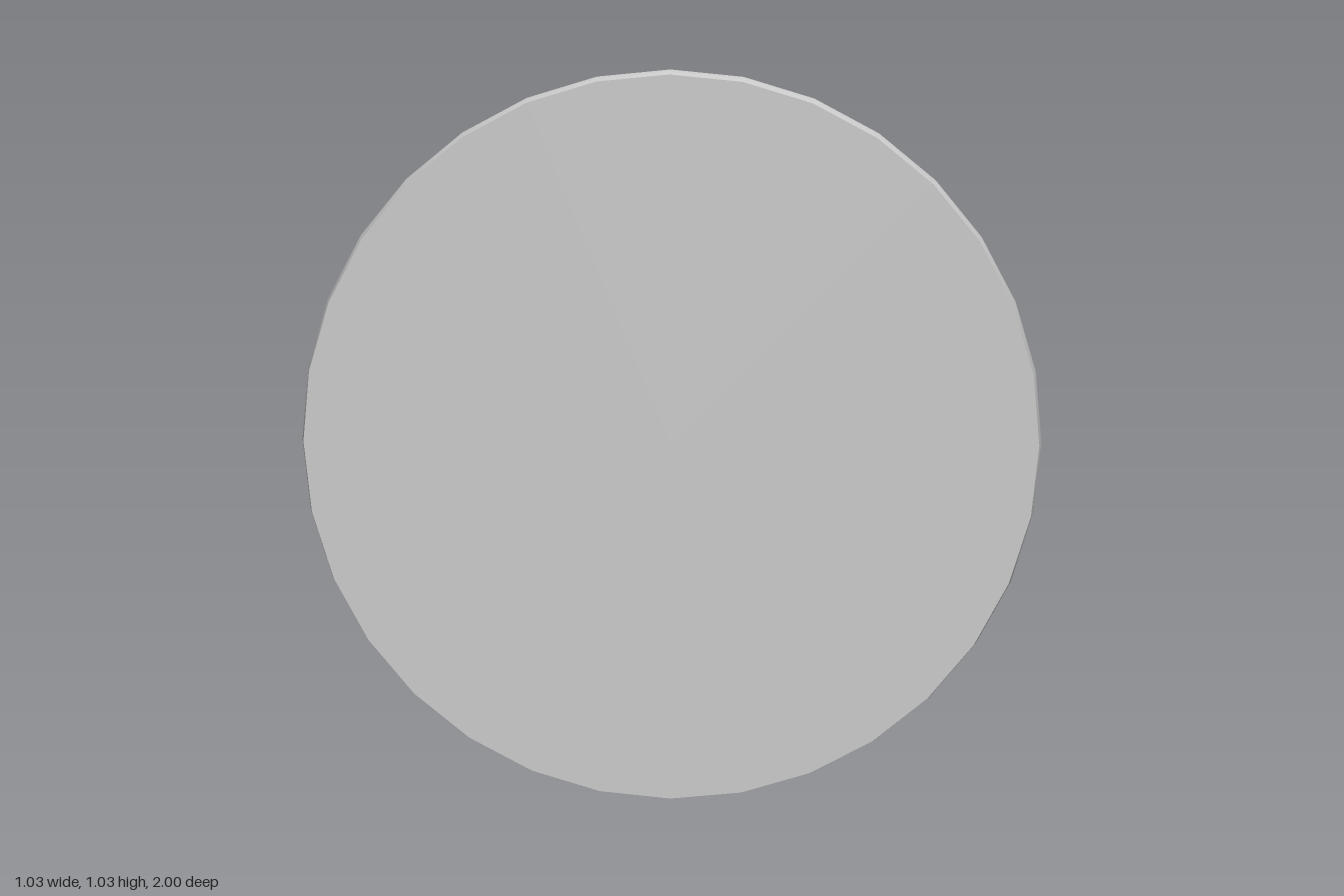
import * as THREE from 'three';

const SIDES = 32;
const AXIS_Y = 0.517;
const SLOT = 0.415; // distance along the axis where the slot in the head begins
const material = new THREE.MeshStandardMaterial({ color: 0xcccccc });

// smooth profile through [distance along axis, radius] points; includes every point
function profile(points, steps = 6) {
  return new THREE.SplineCurve(points.map(([h, r]) => new THREE.Vector2(r, h)))
    .getPoints((points.length - 1) * steps);
}

// turned part whose axis runs towards -z
function turned(points) {
  return new THREE.LatheGeometry(points, SIDES).rotateX(-Math.PI / 2);
}

// rows x cols surface from a position rule
function grid(rows, cols, rule) {
  const pos = [], index = [];
  for (let i = 0; i < rows; i++) {
    for (let j = 0; j <= cols; j++) {
      pos.push(...rule(i, j / cols));
      if (i < rows - 1 && j < cols) {
        const a = i * (cols + 1) + j, b = a + cols + 1;
        index.push(a, a + 1, b, a + 1, b + 1, b);
      }
    }
  }
  const g = new THREE.BufferGeometry();
  g.setAttribute('position', new THREE.Float32BufferAttribute(pos, 3));
  g.setIndex(index);
  g.computeVertexNormals();
  return g;
}

// heights of the two slot walls above the axis, with a small bevel at the floor
const lowerCut = h => -0.066 + 0.187 * (h - 0.435) + Math.max(0, 0.43 - h);
const upperCut = h => 0.012 + 0.19 * (h - 0.42) - Math.max(0, 0.425 - h);

// round body sliced by a slot wall: curved outside plus flat cut face
function sliced(points, cut, upper) {
  const rows = points.map(({ x, y }) => {
    const r = Math.max(x, 1e-5);
    const d = THREE.MathUtils.clamp(cut(y), -r, r);
    return { r, h: y, d, a: Math.acos(d / r), w: Math.sqrt(Math.max(0, r * r - d * d)) };
  });
  if (upper) {
    const tip = rows.findIndex(p => p.w === 0);
    if (tip > 0) rows.length = tip + 1;
  }
  const skin = grid(rows.length, SIDES, (i, t) => {
    const { r, h, a } = rows[i];
    const angle = upper ? -a + 2 * a * t : a + (2 * Math.PI - 2 * a) * t;
    return [r * Math.sin(angle), r * Math.cos(angle), -h];
  });
  const face = grid(rows.length, 1, (i, t) => {
    const { w, d, h } = rows[i];
    return [(upper ? 1 - 2 * t : 2 * t - 1) * w, d, -h];
  });
  return [skin, face];
}

export function createModel() {
  const model = new THREE.Group();
  model.name = 'chessPiece';

  function add(name, ...geometries) {
    const part = new THREE.Group();
    part.name = name;
    geometries.forEach(g => {
      const mesh = new THREE.Mesh(g, material);
      mesh.name = name;
      part.add(mesh);
    });
    part.position.y = AXIS_Y;
    model.add(part);
  }

  // underside disc, facing +z
  add('underside', new THREE.CircleGeometry(0.512, SIDES, Math.PI / 2).translate(0, 0, 1));

  // turned parts from the foot up to the start of the head
  const parts = {
    foot: [[-1, 0.512], [-0.97, 0.517], [-0.93, 0.506], [-0.88, 0.475], [-0.845, 0.437], [-0.82, 0.4]],
    baseBulge: [[-0.82, 0.4], [-0.8, 0.443], [-0.77, 0.465], [-0.735, 0.471], [-0.695, 0.457],
      [-0.665, 0.415], [-0.62, 0.365], [-0.58, 0.33], [-0.555, 0.285]],
    baseRing: [[-0.555, 0.28], [-0.55, 0.293], [-0.54, 0.293], [-0.525, 0.275], [-0.515, 0.245]],
    stem: [[-0.515, 0.245], [-0.41, 0.207], [-0.3, 0.184], [-0.14, 0.175], [0.04, 0.174]],
    largeCollar: [[0.04, 0.17], [0.043, 0.23], [0.06, 0.275], [0.095, 0.293], [0.128, 0.275],
      [0.142, 0.24], [0.146, 0.213]],
    smallCollar: [[0.146, 0.213], [0.155, 0.245], [0.183, 0.263], [0.21, 0.245], [0.22, 0.207]],
    neck: [[0.22, 0.207], [0.25, 0.202], [0.275, 0.207]],
    neckRing: [[0.275, 0.207], [0.279, 0.222], [0.288, 0.226], [0.297, 0.22], [0.3, 0.207]],
  };
  for (const [name, points] of Object.entries(parts)) add(name, turned(profile(points)));

  // head: whole below the slot, two sliced halves beyond it
  const head = profile([[0.3, 0.207], [0.36, 0.215], [SLOT, 0.225], [0.43, 0.227], [0.5, 0.232],
    [0.57, 0.224], [0.64, 0.203], [0.72, 0.165], [0.8, 0.12], [0.86, 0.077], [0.925, 0.022]], 8);
  const eps = 1e-4;
  const split = head.filter(p => p.y >= SLOT - eps);
  add('headBase', turned(head.filter(p => p.y <= SLOT + eps)));
  add('headLower', ...sliced(split, lowerCut, false));
  add('headUpper', ...sliced(split, upperCut, true));

  // floor of the slot
  const floorRadius = split[0].x, low = lowerCut(SLOT), high = upperCut(SLOT);
  add('slotFloor', grid(5, 1, (i, t) => {
    const y = low + (high - low) * i / 4;
    return [(1 - 2 * t) * Math.sqrt(floorRadius ** 2 - y * y), y, -SLOT];
  }));

  // ball at the tip, trimmed by the slot wall
  const ball = Array.from({ length: 33 }, (_, i) => {
    const a = Math.PI * i / 32;
    return new THREE.Vector2(0.045 * Math.sin(a), 0.955 - 0.045 * Math.cos(a));
  });
  add('tipBall', ...sliced(ball, lowerCut, false));

  return model;
}
